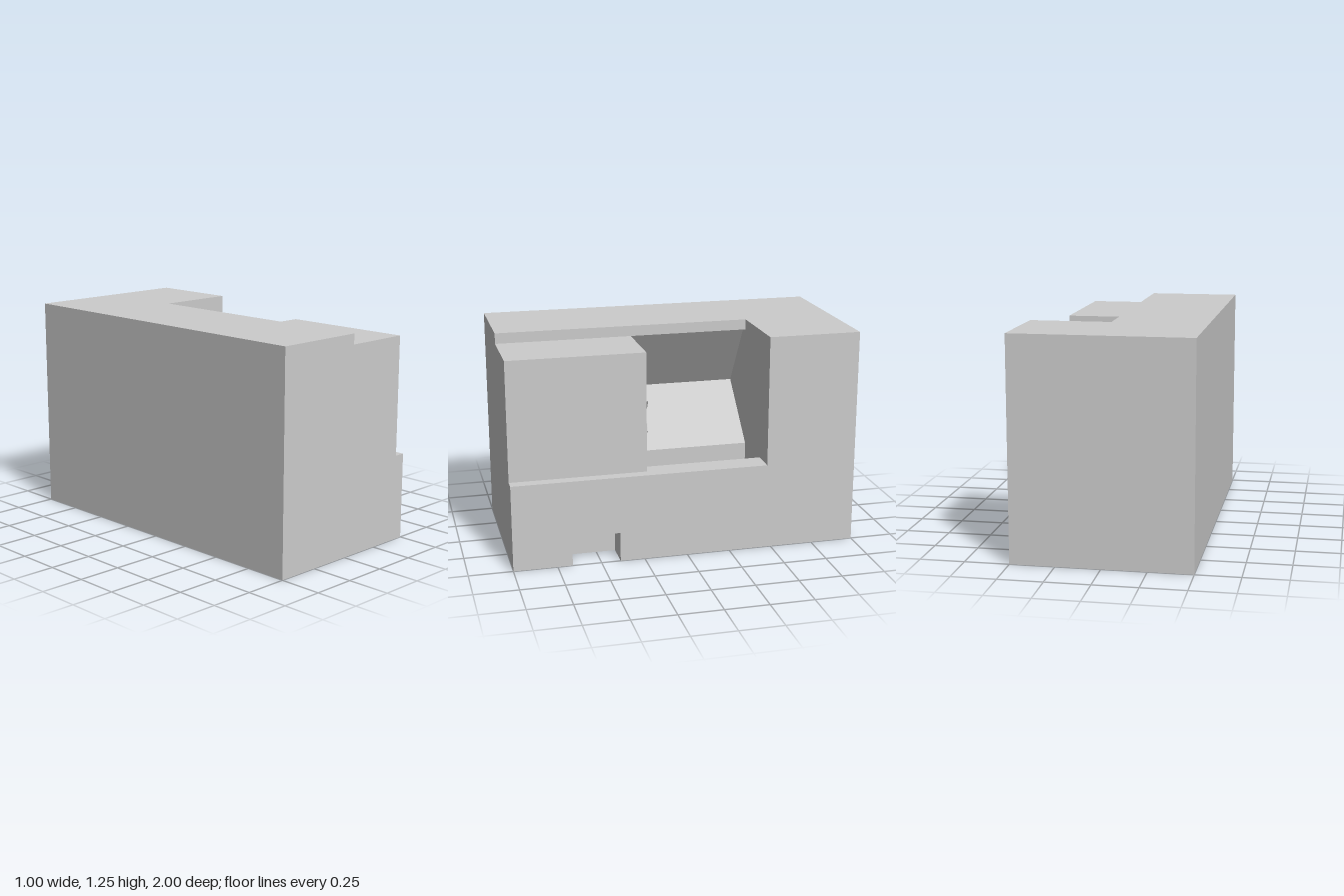
import * as THREE from 'three';

const material = new THREE.MeshStandardMaterial({ color: 0xcccccc, flatShading: true });

// Extrudes an x/y section from z0 to z1
function slab(name, points, z0, z1) {
  const shape = new THREE.Shape(points.map(([x, y]) => new THREE.Vector2(x, y)));
  const geometry = new THREE.ExtrudeGeometry(shape, { depth: z1 - z0, bevelEnabled: false });
  geometry.translate(0, 0, z0);
  const mesh = new THREE.Mesh(geometry, material);
  mesh.name = name;
  return mesh;
}

export function createModel() {
  const model = new THREE.Group();
  model.name = 'housing';

  // Upper outline of the front part: side ledge, block, stepped top
  const upper = [[0.5, 0.5], [0.435, 0.5], [0.435, 1.19], [0.04, 1.19], [0.04, 1.25], [-0.5, 1.25]];
  const plain = [[-0.5, 0], [0.5, 0], ...upper];
  const notched = [[-0.5, 0], [0.34, 0], [0.34, 0.17], [0.5, 0.17], ...upper];

  // Cavity: rim wall, trench, V-shaped back and overhanging lip
  const cavity = [
    [-0.5, 0], [0.5, 0], [0.5, 0.5], [0.355, 0.5], [0.355, 0.39], [0.075, 0.39],
    [0.075, 0.5], [-0.25, 0.81], [0, 1.19], [0.04, 1.19], [0.04, 1.25], [-0.5, 1.25],
  ];
  const full = [[-0.5, 0], [0.5, 0], [0.5, 1.25], [-0.5, 1.25]];

  model.add(
    slab('frontBody', plain, 0.665, 1),
    slab('notchedBody', notched, 0.39, 0.665),
    slab('blockBody', plain, 0.22, 0.39),
    slab('cavityBody', cavity, -0.47, 0.22),
    slab('rearBody', full, -1, -0.47),
  );

  // Round coupling on the block's inner face, with three lugs
  const coupling = new THREE.Group();
  coupling.name = 'coupling';
  coupling.position.set(0.205, 0.775, 0.22);
  const discMaterial = new THREE.MeshStandardMaterial({ color: 0xcccccc });
  const disc = new THREE.Mesh(new THREE.CylinderGeometry(0.125, 0.125, 0.02, 48), discMaterial);
  disc.name = 'couplingDisc';
  disc.rotation.x = Math.PI / 2;
  disc.position.z = -0.01;
  coupling.add(disc);
  for (let i = 0; i < 3; i++) {
    const angle = Math.PI / 3 + (i * 2 * Math.PI) / 3;
    const lug = new THREE.Mesh(new THREE.BoxGeometry(0.06, 0.04, 0.03), material);
    lug.name = 'couplingLug';
    lug.position.set(0.085 * Math.cos(angle), 0.085 * Math.sin(angle), -0.03);
    lug.rotation.z = angle;
    coupling.add(lug);
  }
  model.add(coupling);

  return model;
}
